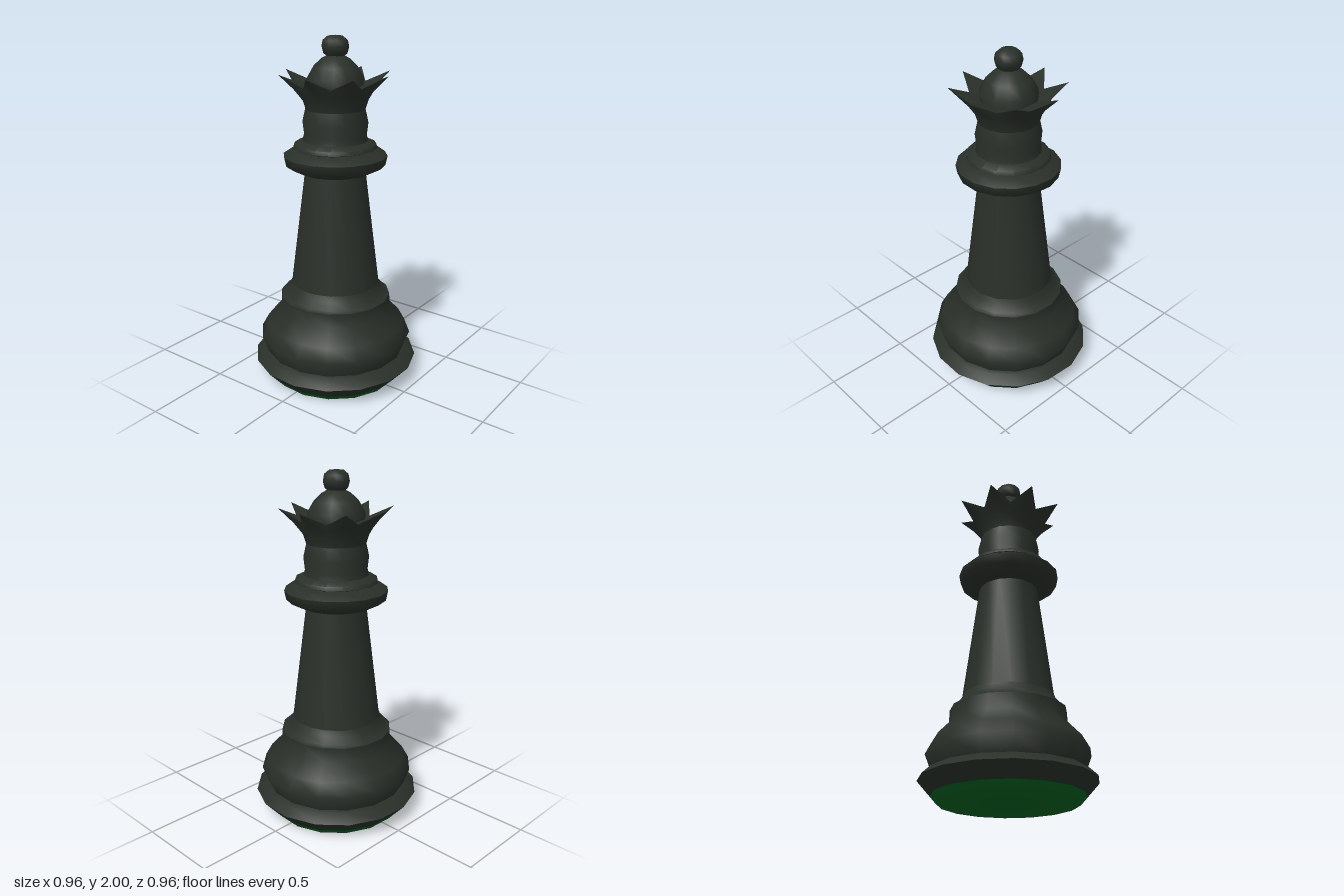
import * as THREE from 'three';
import { toCreasedNormals } from 'three/addons/utils/BufferGeometryUtils.js';

const PHASE = THREE.MathUtils.degToRad(8.3);

// Turned shape from [radius, height] pairs, listed bottom to top
function turned(profile, sides = 16) {
  return new THREE.LatheGeometry(profile.map(([r, y]) => new THREE.Vector2(r, y)), sides, PHASE);
}

export function createModel() {
  const group = new THREE.Group();
  const ebony = new THREE.MeshStandardMaterial({ color: 0x292f29 });
  ebony.name = 'blackened wood';
  const felt = new THREE.MeshStandardMaterial({ color: 0x036020 });
  felt.name = 'green felt';

  function add(name, geometry, material = ebony, crease = 0.95) {
    const mesh = new THREE.Mesh(toCreasedNormals(geometry, crease), material);
    mesh.name = name;
    group.add(mesh);
  }

  // Felt pad underneath, softly rounded at the rim
  add('feltPad', turned([[0, 0], [0.38, 0], [0.412, 0.036]]), felt, 1.5);

  // Foot ring and bulging base
  add('footRing', turned([[0.412, 0.036], [0.483, 0.115], [0.435, 0.16], [0.4, 0.168]]));
  add('base', turned([
    [0.41, 0.165], [0.447, 0.26], [0.405, 0.335], [0.325, 0.42],
    [0.322, 0.505], [0.3, 0.515], [0.268, 0.555], [0.25, 0.6],
  ]));

  // Tapering stem
  add('stem', turned([[0.258, 0.57], [0.171, 1.26]]));

  // Collar rings and neck
  add('collar', turned([
    [0.165, 1.245], [0.205, 1.252], [0.283, 1.292], [0.294, 1.345], [0.25, 1.375], [0.2, 1.385],
  ]));
  add('upperRing', turned([[0.2, 1.375], [0.236, 1.388], [0.23, 1.41], [0.18, 1.43]]));
  add('neck', turned([[0.188, 1.41], [0.176, 1.46], [0.184, 1.53], [0.166, 1.61]]));

  // Crown: a flared cup whose even columns are drawn out into eight points
  const tips = [[0.166, 1.6], [0.183, 1.655], [0.235, 1.72], [0.317, 1.8], [0.15, 1.735]];
  const valleys = [[0.166, 1.6], [0.183, 1.655], [0.205, 1.695], [0.218, 1.735], [0.15, 1.725]];
  const crown = turned(tips);
  const position = crown.attributes.position;
  for (let i = 0; i <= 16; i += 1) {
    const angle = PHASE + (i / 16) * Math.PI * 2;
    const column = i % 2 ? valleys : tips;
    column.forEach(([r, y], j) => {
      position.setXYZ(i * column.length + j, r * Math.sin(angle), y, r * Math.cos(angle));
    });
  }
  add('crown', crown);

  // Dome and finial ball
  add('dome', turned([
    [0.155, 1.71], [0.16, 1.77], [0.122, 1.835], [0.08, 1.875], [0.052, 1.89], [0.05, 1.91],
  ], 14));
  add('finial', turned([
    [0.045, 1.888], [0.066, 1.903], [0.076, 1.94], [0.069, 1.973], [0.042, 1.995], [0, 2],
  ], 10));

  return group;
}
